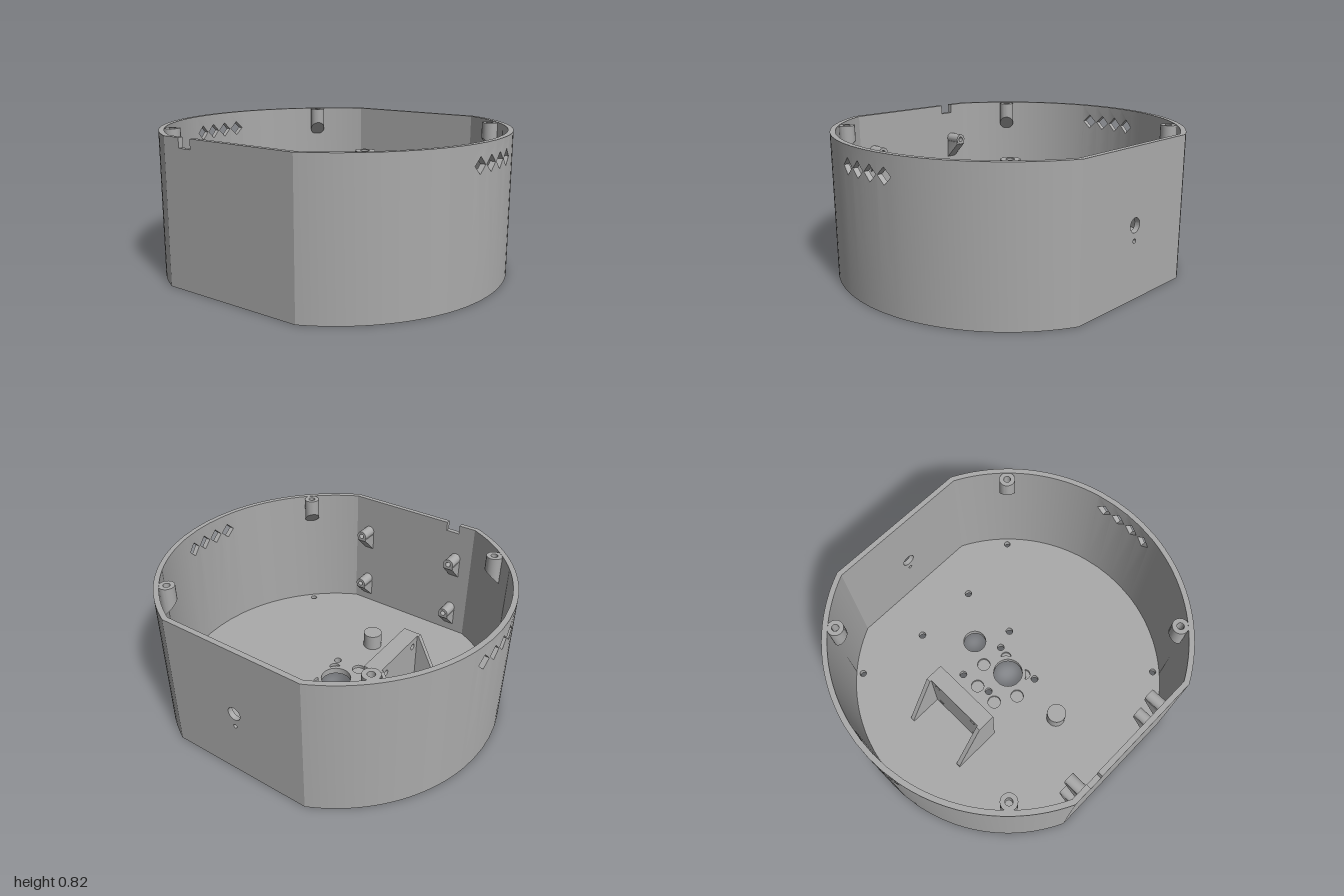
import * as THREE from 'three';
import { mergeGeometries, toCreasedNormals } from 'three/addons/utils/BufferGeometryUtils.js';

const H = 0.82, FLOOR = 0.04, R_OUT = 1, R_IN = 0.97, FLAT_OUT = 0.9, FLAT_IN = 0.87;
const V = (x, y) => new THREE.Vector2(x, y);

function addCircle(shape, x, y, r) {
  shape.holes.push(new THREE.Path().absarc(x, y, r, 0, Math.PI * 2, true));
}
function disc(r, hole = 0) {
  const s = new THREE.Shape().absarc(0, 0, r, 0, Math.PI * 2, false);
  if (hole) addCircle(s, 0, 0, hole);
  return s;
}
const rect = (x0, y0, x1, y1) => new THREE.Shape([V(x0, y0), V(x1, y0), V(x1, y1), V(x0, y1)]);
const extrude = (shape, depth) =>
  new THREE.ExtrudeGeometry(shape, { depth, bevelEnabled: false, curveSegments: 16 });

// Plan shape drawn in (x, -z), rising from y0 to y1
const rise = (shape, y0, y1) => extrude(shape, y1 - y0).rotateX(-Math.PI / 2).translate(0, y0, 0);
// Profile drawn in (z, y), running from x0 to x1
const across = (shape, x0, x1) => extrude(shape, x1 - x0).rotateY(-Math.PI / 2).translate(x1, 0, 0);
// Profile drawn in (x, y), running from z0 to z1
const along = (shape, z0, z1) => extrude(shape, z1 - z0).translate(0, 0, z0);

function arc(r, zStart, zEnd, n, sx, sz) {
  const a0 = Math.asin(zStart / r), a1 = Math.asin(zEnd / r);
  return Array.from({ length: n + 1 }, (_, i) => {
    const a = a0 + (a1 - a0) * i / n;
    return V(sx * r * Math.cos(a), sz * r * Math.sin(a));
  });
}

function wallGeometry() {
  const parts = [];
  // Curved quarters between the vents and the flats
  for (const sx of [-1, 1]) for (const sz of [-1, 1]) {
    const pts = [
      ...arc(R_OUT, 0.2, FLAT_OUT, 20, sx, sz),
      V(sx * 0.428, sz * FLAT_OUT), V(sx * 0.428, sz * FLAT_IN),
      ...arc(R_IN, 0.2, FLAT_IN, 20, sx, sz).reverse(),
    ];
    parts.push(rise(new THREE.Shape(pts), 0, H));
  }
  // Side panels with diamond vents, bent onto the circle
  for (const turn of [0, Math.PI]) for (const zc of [-0.15, -0.05, 0.05, 0.15]) {
    const s = rect(zc - 0.05, 0, zc + 0.05, H), d = 0.045, y = 0.71;
    s.holes.push(new THREE.Path([V(zc - d, y), V(zc, y + d), V(zc + d, y), V(zc, y - d)]));
    const g = across(s, -1, 0);
    const p = g.attributes.position;
    for (let i = 0; i < p.count; i++) {
      const r = R_IN + (R_OUT - R_IN) * -p.getX(i);
      p.setX(i, -Math.sqrt(r * r - p.getZ(i) ** 2));
    }
    parts.push(g.rotateY(turn));
  }
  // Front flat with the rim notch
  const front = new THREE.Shape([
    V(-0.428, 0), V(0.428, 0), V(0.428, H), V(-0.24, H),
    V(-0.24, 0.765), V(-0.325, 0.765), V(-0.325, H), V(-0.428, H),
  ]);
  parts.push(along(front, FLAT_IN, FLAT_OUT));
  // Back flat with the cable hole and pin hole
  const back = rect(-0.428, 0, 0.428, H);
  addCircle(back, 0, 0.41, 0.04);
  addCircle(back, 0, 0.325, 0.012);
  parts.push(along(back, -FLAT_OUT, -FLAT_IN));
  return mergeGeometries(parts);
}

// Floor outline with every through hole
function floorShape() {
  const r = 0.98, zf = 0.88;
  const right = arc(r, -zf, zf, 48, 1, 1);
  const s = new THREE.Shape([...right, ...right.map(p => V(-p.x, -p.y))]);
  const holes = [
    [0, 0, 0.092], [0, -0.305, 0.072],
    [-0.21, -0.58, 0.022], [0.21, -0.58, 0.022], [-0.21, -0.195, 0.022], [0.21, -0.195, 0.022],
    [0.09, -0.155, 0.022], [0.09, 0.15, 0.022], [-0.175, 0, 0.022], [0, 0.42, 0.03],
  ];
  for (const sx of [-1, 1]) for (const sz of [-1, 1]) holes.push([sx * 0.657, sz * 0.657, 0.02]);
  holes.forEach(([x, z, rad]) => addCircle(s, x, -z, rad));
  return s;
}

function floorGeometry() {
  // Upper layer also carries shallow round and crescent pockets
  const top = floorShape();
  for (const s of [-1, 1]) {
    addCircle(top, -0.2, s * 0.075, 0.04);
    addCircle(top, -0.07, s * 0.15, 0.04);
    const moon = [];
    for (let i = 0; i <= 10; i++) {
      const a = -Math.PI / 4 + Math.PI * i / 10;
      moon.push(V(0.068 + 0.033 * Math.cos(a), s * (0.085 + 0.033 * Math.sin(a))));
    }
    moon.push(V(0.066, s * 0.097), V(0.08, s * 0.083));
    top.holes.push(new THREE.Path(moon));
  }
  return mergeGeometries([rise(floorShape(), 0, FLOOR / 2), rise(top, FLOOR / 2, FLOOR)]);
}

// Lid screw post with a blind hole and a sloped underside
function postGeometry(sx, sz) {
  const lower = rise(disc(0.046), 0.68, 0.74);
  const p = lower.attributes.position;
  for (let i = 0; i < p.count; i++) {
    if (p.getY(i) < 0.7) p.setY(i, 0.68 - (sx * p.getX(i) + sz * p.getZ(i)) * Math.SQRT1_2);
  }
  return mergeGeometries([lower, rise(disc(0.046, 0.02), 0.74, H - 0.002)])
    .translate(sx * 0.657, 0, sz * 0.657);
}

// Horizontal screw boss on the front wall, with a wedge below it
function bossGeometry(x, y) {
  const tube = along(disc(0.033, 0.016), 0.77, 0.88).translate(x, y, 0);
  const plug = along(disc(0.02), 0.85, 0.88).translate(x, y, 0);
  const wedge = new THREE.Shape([
    V(0.772, y - 0.018), V(0.88, y - 0.018), V(0.88, y - 0.14), V(0.772, y - 0.032),
  ]);
  return mergeGeometries([tube, plug, across(wedge, x - 0.032, x + 0.032)]);
}

export function createModel() {
  const group = new THREE.Group();
  const grey = new THREE.MeshStandardMaterial({ color: 0xaaaaaa });
  grey.name = 'grey plastic';
  const add = (name, geometry) => {
    const mesh = new THREE.Mesh(toCreasedNormals(geometry, 0.3), grey);
    mesh.name = name;
    group.add(mesh);
  };

  add('wall', wallGeometry());
  add('floor', floorGeometry());

  for (const sx of [-1, 1]) for (const sz of [-1, 1]) add('lidPost', postGeometry(sx, sz));
  for (const x of [-0.32, 0.33]) for (const y of [0.22, 0.59]) add('wallBoss', bossGeometry(x, y));

  // Floor stud, hollow from below
  add('floorStud', mergeGeometries([
    rise(disc(0.058, 0.03), FLOOR - 0.005, 0.12), rise(disc(0.058), 0.12, 0.14),
  ]));
  group.children.at(-1).position.z = 0.42;

  // Upright mounting plate with screw holes
  const plate = rect(-0.218, FLOOR - 0.005, 0.218, 0.43);
  for (const z of [-0.145, 0.145]) for (const y of [0.09, 0.38]) addCircle(plate, z, y, 0.018);
  add('mountPlate', across(plate, -0.44, -0.34));

  // Sloped braces behind the plate
  const brace = new THREE.Shape([
    V(-0.64, FLOOR - 0.005), V(-0.435, FLOOR - 0.005), V(-0.435, 0.43), V(-0.45, 0.43), V(-0.64, 0.06),
  ]);
  for (const z of [-0.205, 0.205]) add('plateBrace', along(brace, z - 0.013, z + 0.013));

  return group;
}
